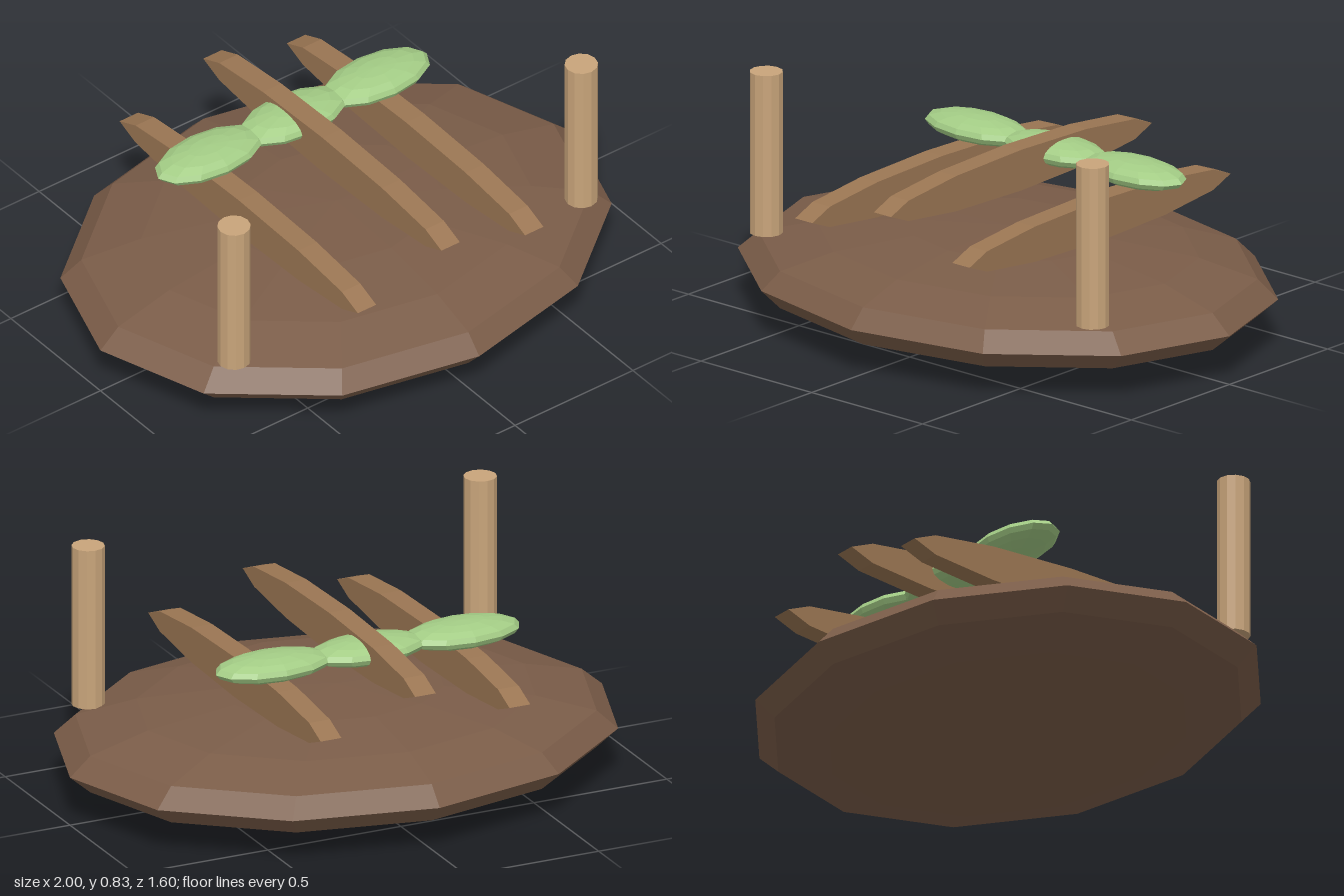
import * as THREE from 'three';

const material = (color) => new THREE.MeshStandardMaterial({ color, flatShading: true });

export function createModel() {
  const group = new THREE.Group();
  const soil = material(0x7a5c48);
  const slatWood = material(0x9b7653);
  const postWood = material(0xc8a47a);
  const green = material(0xa3cc85);

  const add = (name, geometry, mat, x, y, z) => {
    const mesh = new THREE.Mesh(geometry, mat);
    mesh.name = name;
    mesh.position.set(x, y, z);
    group.add(mesh);
  };

  // Flattened faceted mound
  add('base', new THREE.SphereGeometry(1, 12, 8).scale(1, 0.172, 0.8), soil, 0, 0.172, 0);

  // Two upright posts near the front edge
  const postGeometry = new THREE.CylinderGeometry(0.057, 0.057, 0.574, 12);
  for (const side of [-1, 1]) {
    add(side > 0 ? 'leftPost' : 'rightPost', postGeometry, postWood, side * 0.737, 0.543, 0.4);
  }

  // Long slats: twelve-sided discs stretched front to back, the middle one raised
  const slatGeometry = new THREE.CylinderGeometry(1, 1, 0.078, 12)
    .rotateZ(Math.PI / 2)
    .scale(1, 0.0725, 0.665);
  // Overlapping leaf pads lying across the slats
  const leafGeometry = new THREE.SphereGeometry(1, 12, 8).scale(0.215, 0.045, 0.112);
  for (const i of [-1, 0, 1]) {
    const label = ['right', 'middle', 'left'][i + 1];
    add(label + 'Slat', slatGeometry, slatWood, i * 0.355, i === 0 ? 0.543 : 0.442, -0.025);
    add(label + 'Leaf', leafGeometry, green, i * 0.355, 0.555, -0.243);
  }

  return group;
}
